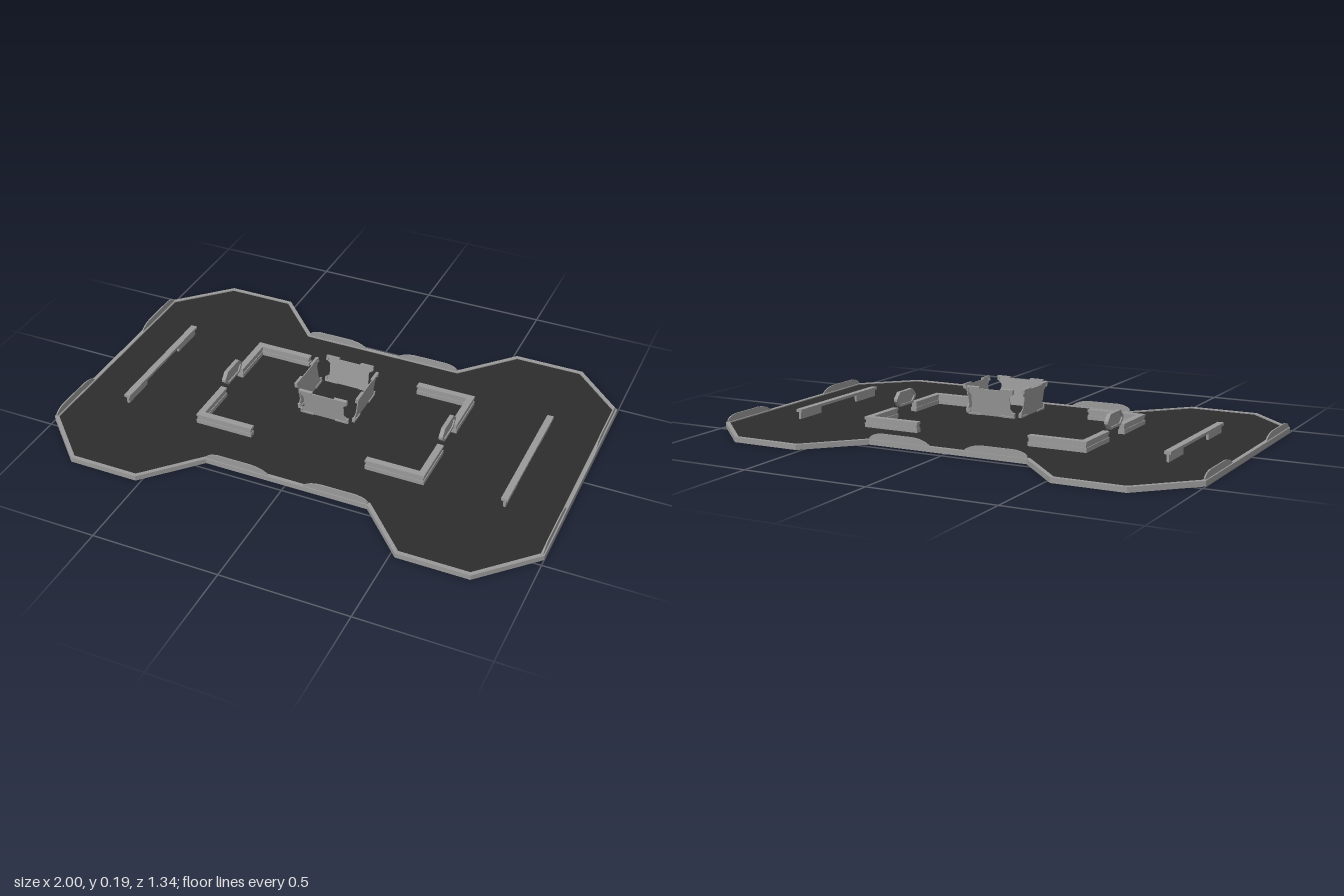
import * as THREE from 'three';

const grey = new THREE.MeshStandardMaterial({ color: 0x999999 });
grey.name = 'concrete grey';
const dark = new THREE.MeshStandardMaterial({ color: 0x2d2d2d });
dark.name = 'floor charcoal';

const SIGNS = [1, -1];
const toShape = pts => new THREE.Shape(pts.map(p => new THREE.Vector2(...p)));
const extrude = (shape, depth) => new THREE.ExtrudeGeometry(shape, { depth, bevelEnabled: false });

function add(parent, name, geometry, material, x = 0, y = 0, z = 0) {
  const mesh = new THREE.Mesh(geometry, material);
  mesh.name = name;
  mesh.position.set(x, y, z);
  parent.add(mesh);
  return mesh;
}

// Box given by its x, y and z ranges
function box(parent, name, [x0, x1], [y0, y1], [z0, z1]) {
  const g = new THREE.BoxGeometry(Math.abs(x1 - x0), y1 - y0, Math.abs(z1 - z0));
  return add(parent, name, g, grey, (x0 + x1) / 2, (y0 + y1) / 2, (z0 + z1) / 2);
}

// Bow-tie floor outline, inset by w, mirrored into all four quarters
function outline(w) {
  const k = 0.41 * w;
  const q = [[1 - w, 0.47 - k], [0.8 - k, 0.67 - w], [0.52 + k, 0.67 - w], [0.33 + k, 0.47 - w]];
  const r = [...q].reverse();
  return [
    ...q, ...r.map(([x, z]) => [-x, z]),
    ...q.map(([x, z]) => [-x, -z]), ...r.map(([x, z]) => [x, -z]),
  ];
}

// Low edge barrier with rounded shoulders, from a to b along x
function barrierGeometry(a, b) {
  const s = new THREE.Shape();
  s.moveTo(a, 0);
  s.quadraticCurveTo(a + 0.025, 0.024, a + 0.08, 0.026);
  s.lineTo(b - 0.05, 0.026);
  s.quadraticCurveTo(b - 0.012, 0.022, b, 0.008);
  s.lineTo(b, 0);
  return extrude(s, 0.005);
}

// One side of the raised centre screen: notched sheet with corner brackets
function screenPanel() {
  const panel = new THREE.Group();
  panel.name = 'screenPanel';
  const right = [[0.098, 0], [0.098, 0.018], [0.083, 0.032], [0.083, 0.08], [0.098, 0.094], [0.098, 0.112], [0.06, 0.112], [0.055, 0.106]];
  const left = [...right].reverse().map(([x, y]) => [-x, y]);
  add(panel, 'screenSheet', extrude(toShape([...right, ...left]), 0.004), grey, 0, 0, -0.002);
  for (const s of SIGNS) {
    for (const [y0, y1, dir] of [[0, 0.007, 1], [0.106, 0.113, -1]]) {
      box(panel, 'screenBracket', [s * 0.045, s * 0.1], [y0, y1], [-0.006, 0.006]);
      const yA = dir > 0 ? y1 : y0 - 0.012;
      box(panel, 'screenBracketEnd', [s * 0.092, s * 0.1], [yA, yA + 0.012], [-0.006, 0.006]);
    }
  }
  return panel;
}

export function createModel() {
  const model = new THREE.Group();
  model.name = 'arena';

  // Dark floor slab inside a grey rim
  const floor = extrude(toShape(outline(0.016)), 0.016).rotateX(-Math.PI / 2);
  add(model, 'floor', floor, dark);
  const rimShape = toShape(outline(0));
  rimShape.holes.push(toShape(outline(0.016).reverse()));
  add(model, 'rim', extrude(rimShape, 0.02).rotateX(-Math.PI / 2), grey);

  // Barriers standing on the rim: two per straight side
  for (const turn of [0, 1, 2, 3]) {
    const side = new THREE.Group();
    side.name = 'edgeBarriers';
    side.rotation.y = turn * Math.PI / 2;
    const ends = turn % 2;
    const g = ends ? barrierGeometry(0.19, 0.465) : barrierGeometry(0.07, 0.33);
    const d = ends ? 0.99 : 0.46;
    add(side, 'edgeBarrier', g, grey, 0, 0.02, d);
    add(side, 'edgeBarrier', g, grey, 0, 0.02, d + 0.005).rotation.y = Math.PI;
    model.add(side);
  }

  const octagon = (w, h, c) => [[w, -h + c], [w, h - c], [w - c, h], [c - w, h], [-w, h - c], [-w, c - h], [c - w, -h], [w - c, -h]];

  for (const s of SIGNS) {
    // Outer long wall: slim stems under a wide cap
    const longWall = new THREE.Group();
    longWall.name = 'longWall';
    box(longWall, 'longWallCap', [s * 0.772, s * 0.798], [0.045, 0.056], [-0.277, 0.277]);
    for (const t of SIGNS) {
      box(longWall, 'longWallStem', [s * 0.78, s * 0.79], [0.016, 0.045], [t * 0.13, t * 0.272]);
    }
    model.add(longWall);

    // L-shaped corner walls with stepped base and cap
    for (const t of SIGNS) {
      const corner = new THREE.Group();
      corner.name = 'cornerWall';
      const layers = [[0.016, 0.033, 0], [0.033, 0.048, 0.003], [0.048, 0.057, 0]];
      for (const [y0, y1, i] of layers) {
        box(corner, 'cornerWallLong', [s * (0.448 + i), s * (0.474 - i)], [y0, y1], [t * (0.07 + i), t * (0.277 - i)]);
        box(corner, 'cornerWallShort', [s * (0.237 + i), s * (0.448 + i)], [y0, y1], [t * (0.251 + i), t * (0.277 - i)]);
      }
      model.add(corner);
    }

    // Octagonal gate panel with a thicker frame, hung between the corner walls
    const gate = new THREE.Group();
    gate.name = 'gate';
    gate.position.set(s * 0.46, 0.086, 0);
    gate.rotation.y = Math.PI / 2;
    add(gate, 'gatePanel', extrude(toShape(octagon(0.066, 0.025, 0.022)), 0.006), grey, 0, 0, -0.003);
    const frame = toShape(octagon(0.072, 0.03, 0.025));
    frame.holes.push(toShape(octagon(0.062, 0.021, 0.02).reverse()));
    add(gate, 'gateFrame', extrude(frame, 0.016), grey, 0, 0, -0.008);
    model.add(gate);
  }

  // Four outward-leaning screens around the centre
  for (let i = 0; i < 4; i++) {
    const side = new THREE.Group();
    side.name = 'centreScreen';
    side.rotation.y = i * Math.PI / 2;
    const panel = screenPanel();
    panel.position.set(0, 0.076, 0.113);
    panel.rotation.x = 0.14;
    side.add(panel);
    model.add(side);
  }

  return model;
}
